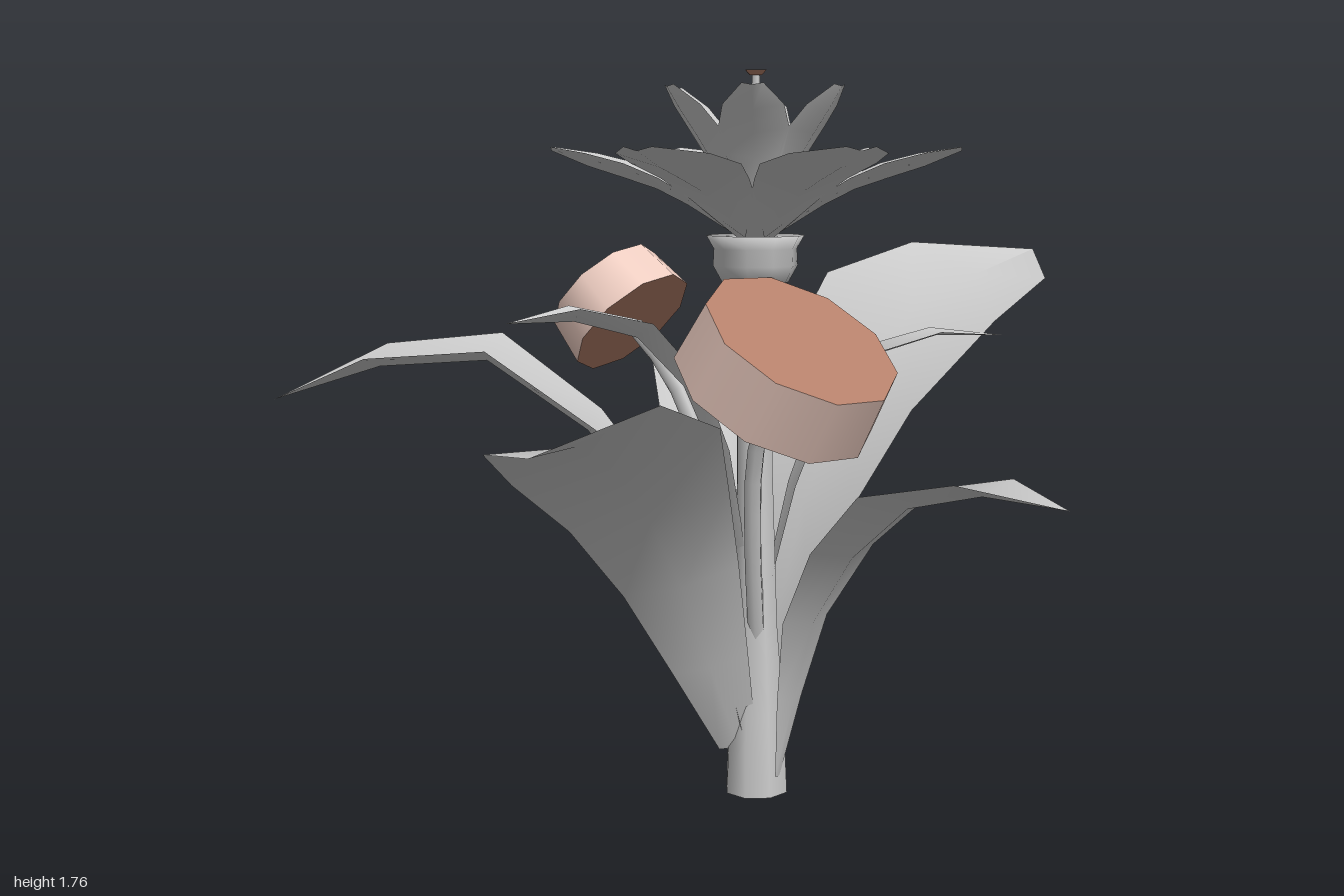
import * as THREE from 'three';

const grey = new THREE.MeshStandardMaterial({ color: 0xcccccc, side: THREE.DoubleSide });
const pink = new THREE.MeshStandardMaterial({ color: 0xf0cfc3, side: THREE.DoubleSide });
const orange = new THREE.MeshStandardMaterial({ color: 0xb5806b, side: THREE.DoubleSide });
const V = (a) => new THREE.Vector3(...a);
const curve = (points) => new THREE.CatmullRomCurve3(points.map(V));
const profile = (points) => points.map((p) => new THREE.Vector2(...p));

function add(parent, name, geometry, material = grey) {
  const mesh = new THREE.Mesh(geometry, material);
  mesh.name = name;
  parent.add(mesh);
  return mesh;
}

// Blade along a spine: widens steadily up to `peak`, then rounds off to the tip.
// roll tilts it sideways, skew slants its rows, fold sinks its midrib.
function blade(points, { width, peak, roll = 0, skew = 0, fold = 0.2, baseWidth = 0.2, tipWidth = 0 }) {
  const spine = curve(points);
  const dir = V(points[points.length - 1]).sub(V(points[0])).setY(0).normalize();
  const side = new THREE.Vector3(-dir.z, roll, dir.x).addScaledVector(dir, skew);
  const stations = [0, 0.25 * peak, 0.5 * peak, 0.75 * peak, peak, (1 + peak) / 2, 1];
  const pos = [], index = [];
  stations.forEach((t, i) => {
    const p = spine.getPointAt(t);
    const w = width * (t <= peak
      ? THREE.MathUtils.lerp(baseWidth, 1, t / peak)
      : THREE.MathUtils.lerp(1, tipWidth, ((t - peak) / (1 - peak)) ** 2.3));
    const up = side.clone().cross(spine.getTangentAt(t)).normalize();
    if (up.y < 0) up.negate();
    for (const s of [-1, 0, 1]) {
      const q = p.clone().addScaledVector(side, s * w).addScaledVector(up, (s ? 0.5 : -0.5) * fold * w);
      pos.push(q.x, q.y, q.z);
    }
    if (i === 0) return;
    for (let k = 0; k < 2; k++) {
      const a = (i - 1) * 3 + k, b = a + 3;
      index.push(a, a + 1, b, a + 1, b + 1, b);
    }
  });
  const g = new THREE.BufferGeometry();
  g.setAttribute('position', new THREE.Float32BufferAttribute(pos, 3));
  g.setIndex(index);
  g.computeVertexNormals();
  return g;
}

// Drum-shaped bud: pale wall, darker caps, thin stalk
function bud(name, centre, axis, rTop, rBottom, height, stalk) {
  const group = new THREE.Group();
  group.name = name;
  const drum = new THREE.Group();
  drum.name = 'budHead';
  drum.position.copy(V(centre));
  drum.quaternion.setFromUnitVectors(new THREE.Vector3(0, 1, 0), V(axis).normalize());
  add(drum, 'budWall', new THREE.CylinderGeometry(rTop, rBottom, height, 10, 1, true).translate(0, -height / 2, 0), pink);
  add(drum, 'budFace', new THREE.CircleGeometry(rTop, 10).rotateX(-Math.PI / 2).rotateY(-Math.PI / 2), orange);
  add(drum, 'budUnderside', new THREE.CircleGeometry(rBottom, 10).rotateX(Math.PI / 2).rotateY(Math.PI / 2)
    .translate(0, -height, 0), orange);
  group.add(drum);
  add(group, 'budStalk', new THREE.TubeGeometry(curve(stalk), 8, 0.022, 6));
  return group;
}

export function createModel() {
  const model = new THREE.Group();
  model.name = 'floweringPlant';

  // Main stem, thick at the foot and open below
  const stem = add(model, 'mainStem', new THREE.LatheGeometry(
    profile([[0.08, 0], [0.072, 0.2], [0.056, 0.42], [0.046, 0.8], [0.042, 1.28]]), 8));
  stem.position.set(0.075, 0, 0.01);
  stem.rotation.z = 0.008;

  // Large leaves
  add(model, 'leftBackLeaf', blade(
    [[0.05, 0.1, 0], [-0.13, 0.7, -0.07], [-0.53, 1.1, -0.22], [-0.77, 1.08, -0.32], [-1, 0.98, -0.43]],
    { width: 0.24, peak: 0.69 }));
  add(model, 'rightLeaf', blade(
    [[0.09, 0.15, 0], [0.2, 0.7, -0.02], [0.48, 1.14, -0.07], [0.69, 1.25, -0.11], [1, 1.31, -0.23]],
    { width: 0.25, peak: 0.7, roll: -0.2, skew: 0.22 }));
  add(model, 'leftFrontLeaf', blade(
    [[0.02, 0.12, 0.02], [-0.23, 0.67, 0.16], [-0.52, 0.97, 0.48], [-0.77, 1, 0.82]],
    { width: 0.22, peak: 0.62, roll: -0.3, skew: 0.28 }));
  add(model, 'rightFrontLeaf', blade(
    [[0.1, 0.05, 0.08], [0.17, 0.52, 0.17], [0.33, 0.8, 0.4], [0.53, 0.78, 0.68]],
    { width: 0.215, peak: 0.66, roll: 0.1, baseWidth: 0.05 }));
  add(model, 'backLeaf', blade(
    [[0.07, 0.1, -0.02], [0.07, 0.65, -0.2], [0.1, 0.98, -0.43], [0.19, 1, -0.82]],
    { width: 0.125, peak: 0.6, fold: 0.55, baseWidth: 0.4 }));

  // Small leaves
  add(model, 'smallLeftLeaf', blade(
    [[0.04, 0.5, 0], [-0.03, 0.88, -0.01], [-0.16, 1.12, -0.03], [-0.34, 1.19, -0.04], [-0.54, 1.175, -0.05]],
    { width: 0.07, peak: 0.68, fold: 0.6, baseWidth: 0.4 }));
  add(model, 'smallRightLeaf', blade(
    [[0.08, 0.4, 0.01], [0.18, 0.82, 0.04], [0.3, 1.06, 0.08], [0.46, 1.13, 0.13], [0.66, 1.125, 0.19]],
    { width: 0.085, peak: 0.68, baseWidth: 0.3 }));

  // Two buds
  model.add(bud('frontBud', [0.05, 1.15, 0.31], [0.19, 0.82, 0.53], 0.238, 0.25, 0.16,
    [[0.06, 0.4, 0.04], [0.02, 0.665, 0.105], [0, 0.875, 0.165], [0.01, 1.03, 0.24]]));
  model.add(bud('backBud', [-0.18, 1.23, -0.355], [-0.36, 0.65, -0.58], 0.155, 0.17, 0.12,
    [[0.05, 0.4, -0.03], [0, 0.75, -0.08], [-0.07, 1.02, -0.18], [-0.13, 1.14, -0.28]]));

  // Flower head
  const flower = new THREE.Group();
  flower.name = 'flower';
  flower.position.set(0.067, 0, 0.015);
  model.add(flower);
  add(flower, 'flowerCup', new THREE.LatheGeometry(
    profile([[0.04, 1.245], [0.08, 1.26], [0.102, 1.3], [0.1, 1.34], [0.118, 1.372], [0.09, 1.362], [0.03, 1.35]]), 10));

  // Two rings of six petals, with stamens between them
  const outer = blade([[0.02, 1.36, 0], [0.23, 1.495, 0], [0.485, 1.575, 0]],
    { width: 0.15, peak: 0.64, fold: 0.25, baseWidth: 0.25, tipWidth: 0.25 });
  const inner = blade([[0.02, 1.37, 0], [0.13, 1.59, 0], [0.23, 1.72, 0]],
    { width: 0.082, peak: 0.68, fold: 0.3, tipWidth: 0.3 });
  const filament = new THREE.TubeGeometry(curve([[0.01, 1.37, 0], [0.03, 1.5, 0], [0.065, 1.6, 0]]), 6, 0.004, 4);
  const anther = new THREE.SphereGeometry(0.012, 6, 4).scale(1.4, 0.7, 0.8).translate(0.068, 1.605, 0);
  for (let i = 0; i < 6; i++) {
    const a = i * Math.PI / 3;
    add(flower, 'outerPetal', outer).rotation.y = a + Math.PI / 6 + 0.06;
    add(flower, 'innerPetal', inner).rotation.y = a + 0.06;
    add(flower, 'filament', filament).rotation.y = a + 0.5;
    add(flower, 'anther', anther).rotation.y = a + 0.5;
  }

  // Pistil
  add(flower, 'pistil', new THREE.CylinderGeometry(0.009, 0.022, 0.39, 6).translate(0, 1.555, 0));
  add(flower, 'stigma', new THREE.CylinderGeometry(0.027, 0.015, 0.012, 8).translate(0, 1.753, 0), orange);

  return model;
}
